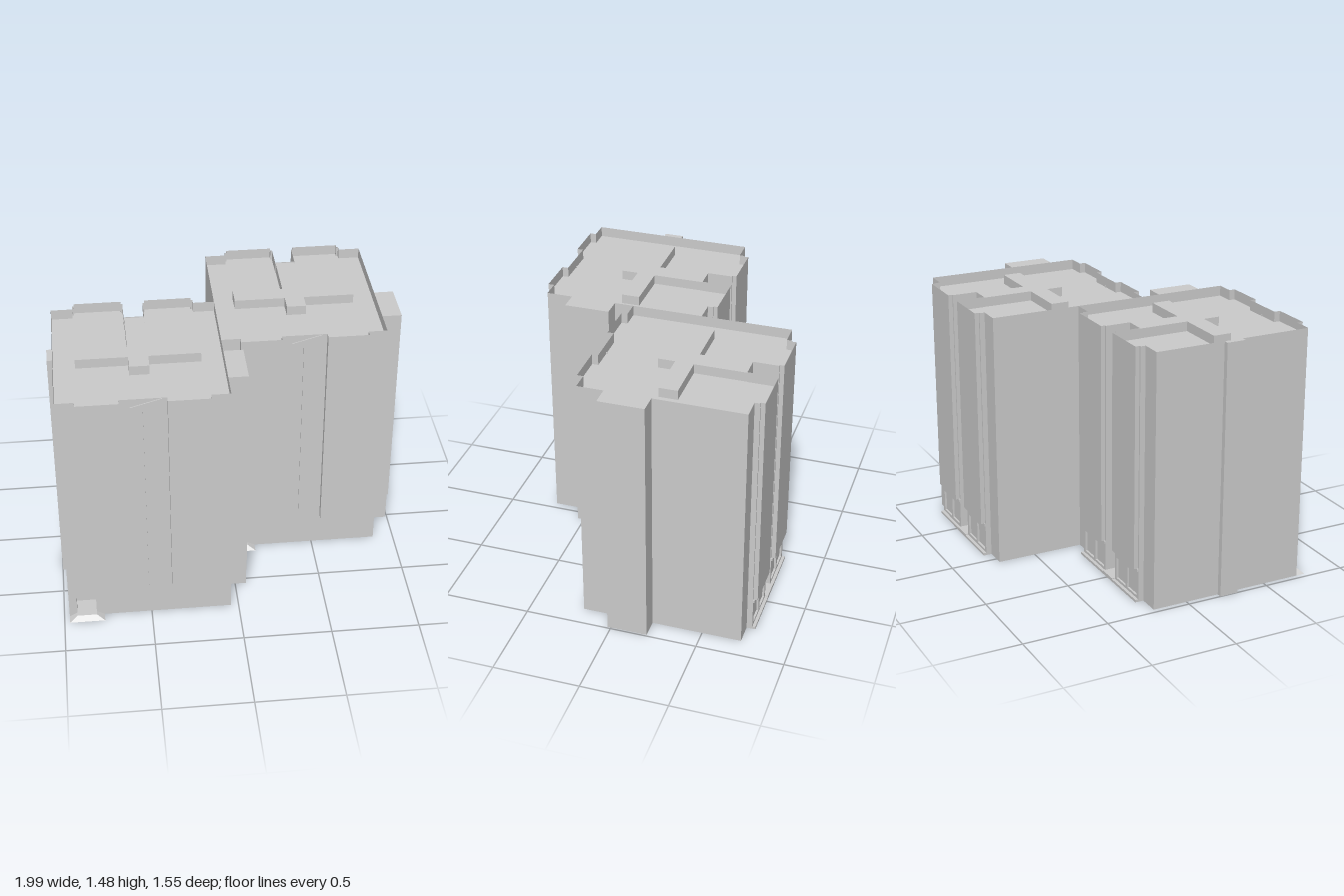
import * as THREE from 'three';

const H = 1.48, ROOF = 1.42, LEDGE = 0.2, DOOR = 0.13;
const mat = new THREE.MeshStandardMaterial({ color: 0xcccccc, flatShading: true, side: THREE.DoubleSide });

function add(group, name, geometry) {
  const mesh = new THREE.Mesh(geometry, mat);
  mesh.name = name;
  group.add(mesh);
  return mesh;
}

// box given by its limits
function box(group, name, x0, x1, y0, y1, z0, z1) {
  const mesh = add(group, name, new THREE.BoxGeometry(x1 - x0, y1 - y0, z1 - z0));
  mesh.position.set((x0 + x1) / 2, (y0 + y1) / 2, (z0 + z1) / 2);
  return mesh;
}

// vertical walls along a closed [x, z] outline
function walls(group, name, outline, y0, y1) {
  const pos = [];
  outline.forEach(([ax, az], i) => {
    const [bx, bz] = outline[(i + 1) % outline.length];
    pos.push(ax, y0, az, bx, y0, bz, bx, y1, bz, ax, y0, az, bx, y1, bz, ax, y1, az);
  });
  const g = new THREE.BufferGeometry();
  g.setAttribute('position', new THREE.Float32BufferAttribute(pos, 3));
  g.computeVertexNormals();
  add(group, name, g);
}

// horizontal surface filling an [x, z] outline
function floor(group, name, outline, y) {
  const shape = new THREE.Shape(outline.map(([x, z]) => new THREE.Vector2(x, -z)));
  add(group, name, new THREE.ShapeGeometry(shape).rotateX(-Math.PI / 2)).position.y = y;
}

const rect = (x0, x1, z0, z1) => [[x0, z1], [x1, z1], [x1, z0], [x0, z0]];
const mirrored = half => [...half, ...half.map(([x, z]) => [-x, z]).reverse()];

function createTower(hasLeftShaft) {
  const g = new THREE.Group();
  g.name = 'tower';

  // upper storeys with front bays, stepped back bays and a rear slot
  const upper = mirrored([
    [0.1275, 0.72], [0.1275, 0.755], [0.3575, 0.755], [0.3575, 0.72], [0.4625, 0.72],
    [0.4625, -0.205], [0.3425, -0.205], [0.3425, -0.235], [0.3325, -0.235], [0.3325, -0.26],
    [0.0675, -0.26], [0.0675, -0.235], [0.0575, -0.235], [0.0575, -0.09],
  ]);
  walls(g, 'upperWalls', upper, LEDGE, H);
  floor(g, 'roof', upper, ROOF);

  // ground storey, notched at the front for the door
  const lower = mirrored([
    [0.4625, 0.72], [0.4625, -0.205], [0.3425, -0.205], [0.3425, -0.225], [0.0575, -0.225], [0.0575, -0.09],
  ]);
  const notch = [[-0.4175, 0.72], [-0.4175, 0.62], [-0.3075, 0.62], [-0.3075, 0.72]];
  walls(g, 'groundWalls', lower, DOOR, LEDGE);
  walls(g, 'entranceWalls', [...lower, ...notch], 0, DOOR);
  const porch = rect(-0.4175, -0.3075, 0.62, 0.72);
  floor(g, 'porchCeiling', porch, DOOR);
  floor(g, 'porchFloor', porch, 0.025);

  // entrance step with sloping sides
  const step = box(g, 'entranceStep', -0.4625, -0.2625, 0, 0.025, 0.72, 0.775);
  const p = step.geometry.attributes.position;
  for (let i = 0; i < p.count; i++) {
    if (p.getY(i) > 0) {
      p.setX(i, p.getX(i) * 0.55);
      if (p.getZ(i) > 0) p.setZ(i, 0);
    }
  }
  step.geometry.computeVertexNormals();

  for (const s of [-1, 1]) {
    const span = (a, b) => (s > 0 ? [a, b] : [-b, -a]);
    // undersides of the bays
    floor(g, 'frontBayUnderside', rect(...span(0.1275, 0.3575), 0.72, 0.755), LEDGE);
    floor(g, 'backBayUnderside', rect(...span(0.0675, 0.3325), -0.26, -0.225), LEDGE);
    // ground floor windows: one frame with two openings
    const frame = new THREE.Shape(rect(...span(0.0575, 0.3425), 0, 0.185).map(a => new THREE.Vector2(...a)));
    for (const x of [0.08, 0.21]) {
      const [a, b] = span(x, x + 0.11);
      frame.holes.push(new THREE.Path(rect(a, b, 0.03, 0.155).map(c => new THREE.Vector2(...c))));
    }
    const geo = new THREE.ExtrudeGeometry(frame, { depth: 0.012, bevelEnabled: false });
    add(g, 'windowFrame', geo).position.z = -0.237;
    box(g, 'windowLintel', ...span(0.0575, 0.3425), 0.185, LEDGE, -0.245, -0.225);
    box(g, 'backStep', ...span(0.0575, 0.3425), 0, 0.015, -0.255, -0.225);
  }

  // rear lobby at the foot of the slot
  box(g, 'rearLobby', -0.0575, 0.0575, 0, DOOR, -0.135, -0.09);
  box(g, 'rearLanding', -0.0575, 0.0575, 0, 0.02, -0.255, -0.135);

  // cross-shaped rooftop block
  const cross = mirrored([
    [0.055, 0.405], [0.055, 0.31], [0.3425, 0.31], [0.3425, 0.205], [0.055, 0.205], [0.055, -0.09],
  ]);
  walls(g, 'roofCrossSides', cross, ROOF, H - 0.005);
  floor(g, 'roofCrossTop', cross, H - 0.005);

  // side shaft, slightly narrower at ground level
  const shaft = rect(0.4625, 0.5725, 0.31, 0.57);
  walls(g, 'sideShaft', shaft, LEDGE, H);
  floor(g, 'sideShaftTop', shaft, H);
  floor(g, 'sideShaftUnderside', rect(0.4625, 0.5725, 0.54, 0.57), LEDGE);
  walls(g, 'sideShaftBase', rect(0.4625, 0.5725, 0.31, 0.54), 0, LEDGE);

  if (hasLeftShaft) {
    const flue = rect(-0.4925, -0.4625, 0.2, 0.31);
    walls(g, 'leftShaft', flue, 0, H);
    floor(g, 'leftShaftTop', flue, H);
  }

  // thin fin on the front with a small sloping cap
  box(g, 'frontFin', -0.003, 0.003, LEDGE, 1.43, 0.715, 0.727);
  const cap = new THREE.Shape([[-0.07, 1.43], [0, 1.43], [0.1, 1.478]].map(a => new THREE.Vector2(...a)));
  add(g, 'finCap', new THREE.ExtrudeGeometry(cap, { depth: 0.006, bevelEnabled: false })).position.z = 0.72;
  return g;
}

export function createModel() {
  const model = new THREE.Group();
  model.name = 'twinTowers';
  const front = createTower(true);
  front.position.x = -0.5075;
  const back = createTower(false);
  back.position.set(0.4175, 0, -0.52);
  model.add(front, back);
  return model;
}
